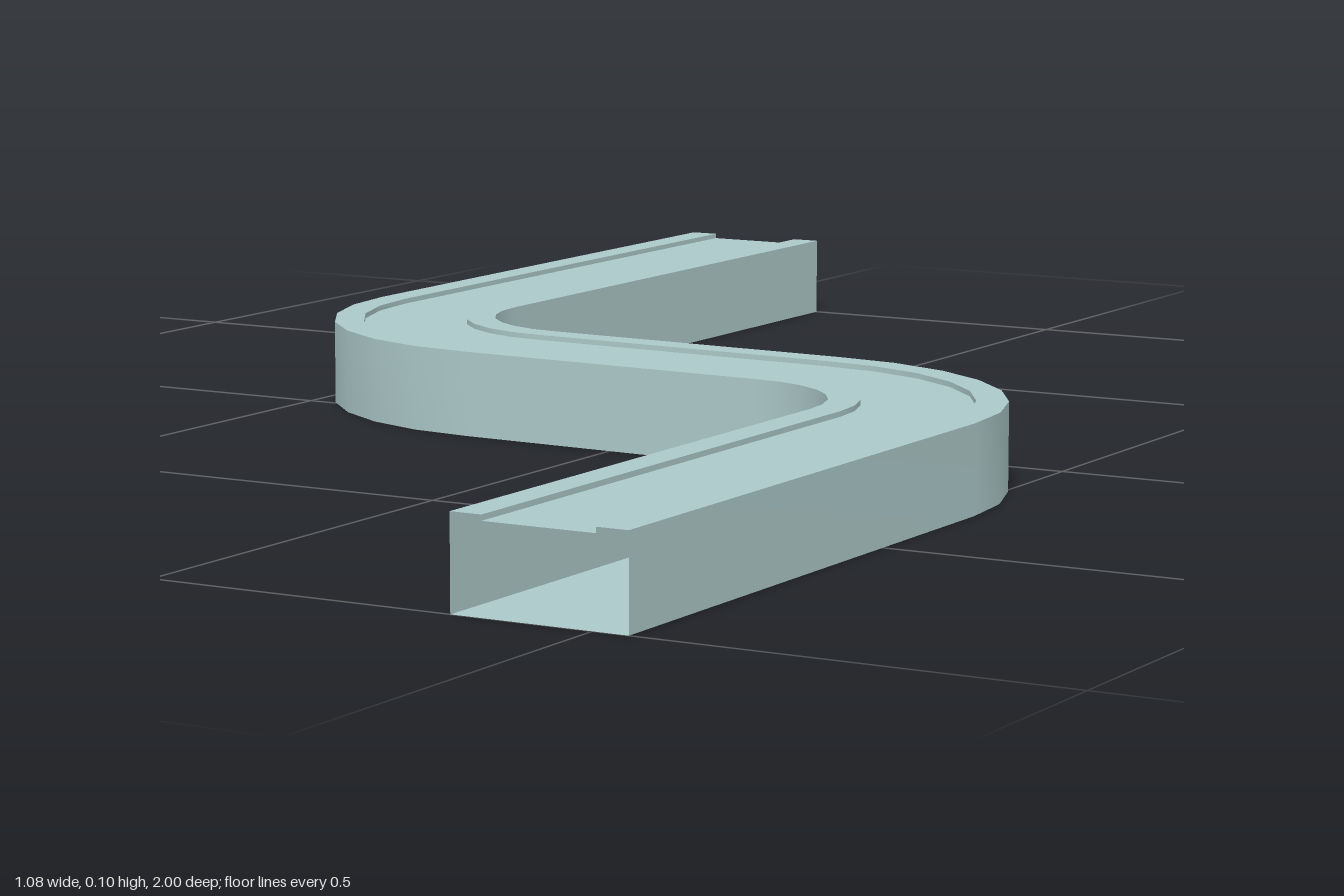
import * as THREE from 'three';

const HALF = 0.097;   // half the width of the channel
const ROAD = 0.062;   // half the width of the sunken lane
const TOP = 0.098;    // height of the kerbs
const LANE = 0.092;   // height of the lane
const STEPS = 7;      // segments per bend

// Centre line: straight, bend, short cross piece, opposite bend, straight.
// Each entry is x, z and the heading (0 = towards +z, PI/2 = towards +x).
function centreLine() {
  const path = [[-0.445, -1, 0]];
  const r = 0.25;
  for (let i = 0; i <= STEPS; i++) {
    const a = (i / STEPS) * Math.PI / 2;
    path.push([-0.195 - r * Math.cos(a), -0.22 + r * Math.sin(a), a]);
  }
  for (let i = STEPS; i >= 0; i--) {
    const a = (i / STEPS) * Math.PI / 2;
    path.push([0.192 + r * Math.cos(a), 0.295 - r * Math.sin(a), a]);
  }
  path.push([0.442, 1, 0]);
  return path;
}

// Sweeps one edge of the cross-section, from (u0, y0) to (u1, y1), along the path.
function strip(path, [u0, y0], [u1, y1]) {
  const positions = [], indices = [];
  path.forEach(([x, z, a], i) => {
    for (const [u, y] of [[u0, y0], [u1, y1]]) {
      positions.push(x + u * Math.cos(a), y, z - u * Math.sin(a));
    }
    if (i > 0) {
      const k = 2 * (i - 1);
      indices.push(k, k + 2, k + 1, k + 1, k + 2, k + 3);
    }
  });
  const geometry = new THREE.BufferGeometry();
  geometry.setAttribute('position', new THREE.Float32BufferAttribute(positions, 3));
  geometry.setIndex(indices);
  geometry.computeVertexNormals();
  return geometry;
}

export function createModel() {
  const group = new THREE.Group();
  group.name = 'windingChannel';
  const concrete = new THREE.MeshStandardMaterial({ color: 0xacc8c8, side: THREE.DoubleSide });
  concrete.name = 'paleConcrete';

  // Hollow cross-section, clockwise, open at both ends of the path
  const profile = [
    ['rightKerbTop', -HALF, TOP],
    ['rightKerbStep', -ROAD, TOP],
    ['lane', -ROAD, LANE],
    ['leftKerbStep', ROAD, LANE],
    ['leftKerbTop', ROAD, TOP],
    ['leftWall', HALF, TOP],
    ['floor', HALF, 0],
    ['rightWall', -HALF, 0],
  ];
  const path = centreLine();
  profile.forEach(([name, u, y], i) => {
    const next = profile[(i + 1) % profile.length];
    const mesh = new THREE.Mesh(strip(path, [u, y], [next[1], next[2]]), concrete);
    mesh.name = name;
    group.add(mesh);
  });
  return group;
}
